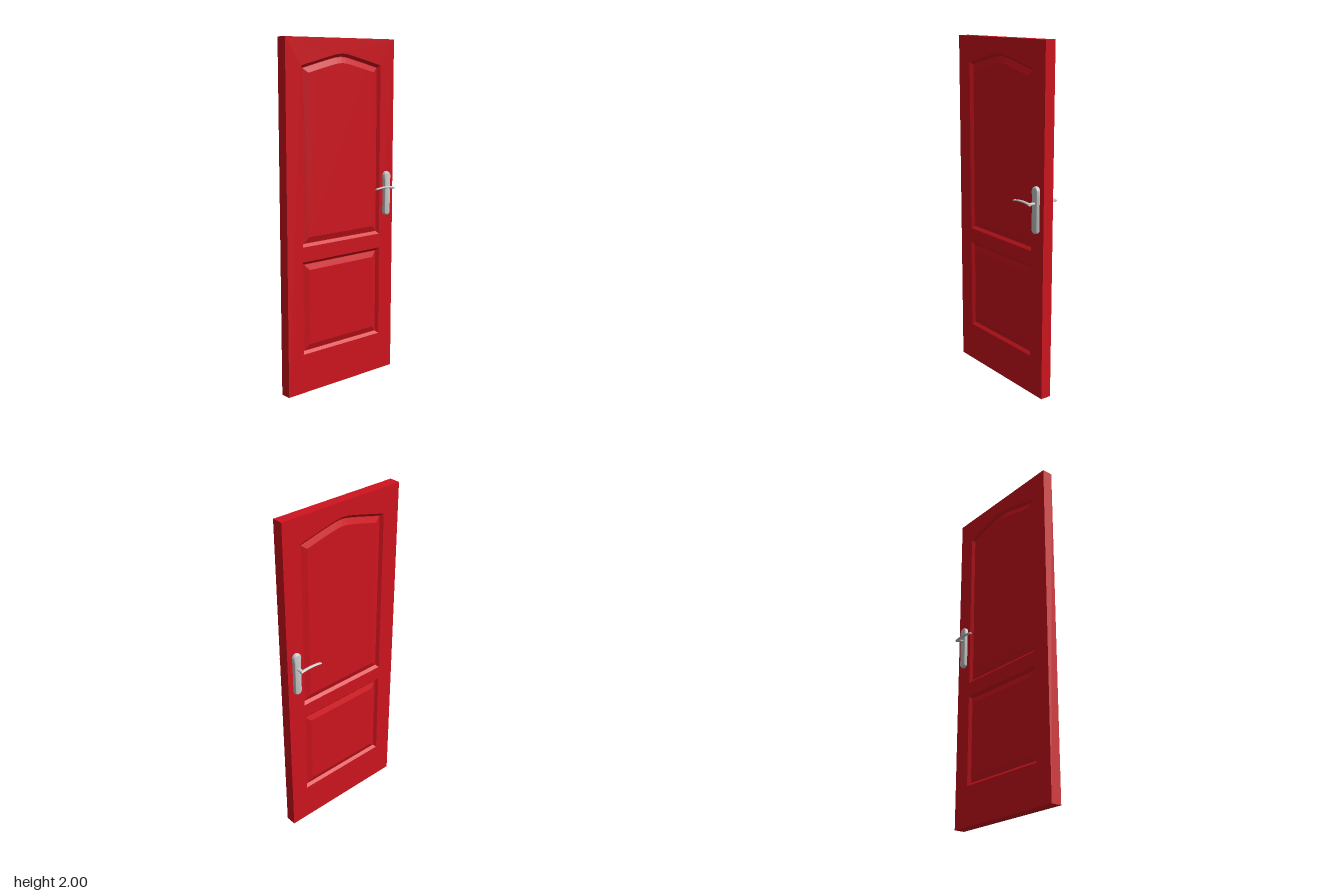
import * as THREE from 'three';
import { toCreasedNormals } from 'three/addons/utils/BufferGeometryUtils.js';

const HALF_W = 0.4, HEIGHT = 2, HALF_T = 0.032;
const PANEL_HALF_W = 0.293;
const HANDLE_X = 0.342;

// bottom, height of the top at its middle, and drop towards the sides
const PANELS = [
  { name: 'upperPanel', bottom: 0.855, top: 1.915, drop: 0.065 },
  { name: 'lowerPanel', bottom: 0.23, top: 0.77, drop: 0 },
];

// Moulding profile: [inset from the opening, depth below the door face]
const PROFILE = [[0, 0], [0.016, 0.015], [0.019, 0.015], [0.052, 0.003]];

// Counter-clockwise panel outline, its top a softly rounded peak
function outline({ bottom, top, drop }, inset) {
  const w = PANEL_HALF_W - inset;
  const pts = [new THREE.Vector2(-w, bottom + inset), new THREE.Vector2(w, bottom + inset)];
  const n = drop ? 16 : 1, c = 0.04;
  const bend = (x) => Math.hypot(x, c) - c;
  for (let i = 0; i <= n; i++) {
    const x = w * (1 - (2 * i) / n);
    pts.push(new THREE.Vector2(x, top - inset - drop * bend(x) / bend(PANEL_HALF_W)));
  }
  return pts;
}

// Sloped moulding: quads between successive inset outlines
function mouldingGeometry(panel) {
  const rings = PROFILE.map(([inset, depth]) =>
    outline(panel, inset).map((p) => [p.x, p.y, HALF_T - depth]));
  const pos = [];
  for (let r = 0; r < rings.length - 1; r++) {
    const a = rings[r], b = rings[r + 1];
    a.forEach((_, i) => {
      const j = (i + 1) % a.length;
      pos.push(...a[i], ...a[j], ...b[j], ...a[i], ...b[j], ...b[i]);
    });
  }
  const g = new THREE.BufferGeometry();
  g.setAttribute('position', new THREE.Float32BufferAttribute(pos, 3));
  g.computeVertexNormals();
  return g;
}

function mesh(name, geometry, material) {
  const m = new THREE.Mesh(geometry, material);
  m.name = name;
  return m;
}

// Door frame with two openings
function createFrame(material) {
  const s = new THREE.Shape([
    new THREE.Vector2(-HALF_W, 0), new THREE.Vector2(HALF_W, 0),
    new THREE.Vector2(HALF_W, HEIGHT), new THREE.Vector2(-HALF_W, HEIGHT),
  ]);
  PANELS.forEach((p) => s.holes.push(new THREE.Path(outline(p, 0))));
  const g = new THREE.ExtrudeGeometry(s, { depth: 2 * HALF_T, bevelEnabled: false });
  return mesh('doorFrame', g.translate(0, 0, -HALF_T), material);
}

// Raised panels filling the openings on one side
function createPanels(material) {
  const side = new THREE.Group();
  const [inset, depth] = PROFILE[PROFILE.length - 1];
  for (const p of PANELS) {
    const field = new THREE.ShapeGeometry(new THREE.Shape(outline(p, inset)));
    field.translate(0, 0, HALF_T - depth);
    side.add(mesh(p.name + 'Moulding', mouldingGeometry(p), material));
    side.add(mesh(p.name + 'Field', field, material));
  }
  return side;
}

// Back plate, spindle and curved lever; dir is the way the lever points
function createHandle(material, dir) {
  const handle = new THREE.Group();

  // Long rounded plate, a little wider at its head
  const s = new THREE.Shape();
  s.moveTo(-0.016, 0.99);
  s.quadraticCurveTo(-0.016, 0.974, 0, 0.974);
  s.quadraticCurveTo(0.016, 0.974, 0.016, 0.99);
  s.lineTo(0.016, 1.175);
  s.lineTo(0.019, 1.2);
  s.quadraticCurveTo(0.017, 1.222, 0, 1.222);
  s.quadraticCurveTo(-0.017, 1.222, -0.019, 1.2);
  s.lineTo(-0.016, 1.175);
  s.closePath();
  const plate = new THREE.ExtrudeGeometry(s, {
    depth: 0.016, bevelThickness: 0.012, bevelSize: 0.008, bevelSegments: 4, curveSegments: 8,
  });
  plate.translate(0, 0, 0.025);
  handle.add(mesh('backPlate', toCreasedNormals(plate, 0.6), material));

  // Oval spindle
  const spindle = new THREE.CylinderGeometry(0.012, 0.012, 0.05, 20);
  spindle.rotateX(Math.PI / 2).scale(1, 0.6, 1).translate(0, 1.137, 0.068);
  handle.add(mesh('spindle', spindle, material));

  // Oval lever, arched along its length and thinner at the tip
  const length = 0.142;
  const lever = new THREE.CylinderGeometry(0.0095, 0.0095, length, 20, 12);
  lever.rotateZ(-dir * Math.PI / 2).translate(dir * (length / 2 - 0.012), 0, 0.0885);
  const p = lever.attributes.position;
  for (let i = 0; i < p.count; i++) {
    const t = (p.getX(i) * dir + 0.012) / length;
    const arch = 1.136 + 0.028 * t * (1 - t) + 0.001 * t;
    p.setY(i, arch + p.getY(i) * (0.75 - 0.3 * t));
  }
  lever.computeVertexNormals();
  handle.add(mesh('lever', lever, material));

  handle.position.x = HANDLE_X;
  return handle;
}

export function createModel() {
  const red = new THREE.MeshStandardMaterial({ color: 0xd0141e, flatShading: true });
  const metal = new THREE.MeshStandardMaterial({ color: 0xcccccc });
  const door = new THREE.Group();
  door.name = 'door';
  door.add(createFrame(red));

  // Both sides carry panels and a handle, levers pointing to the door's middle
  for (const [label, turn, dir] of [['front', 0, -1], ['back', Math.PI, 1]]) {
    const panels = createPanels(red);
    panels.name = label + 'Panels';
    panels.rotation.y = turn;
    const handle = createHandle(metal, dir);
    handle.name = label + 'Handle';
    handle.rotation.y = turn;
    door.add(panels, handle);
  }
  return door;
}
